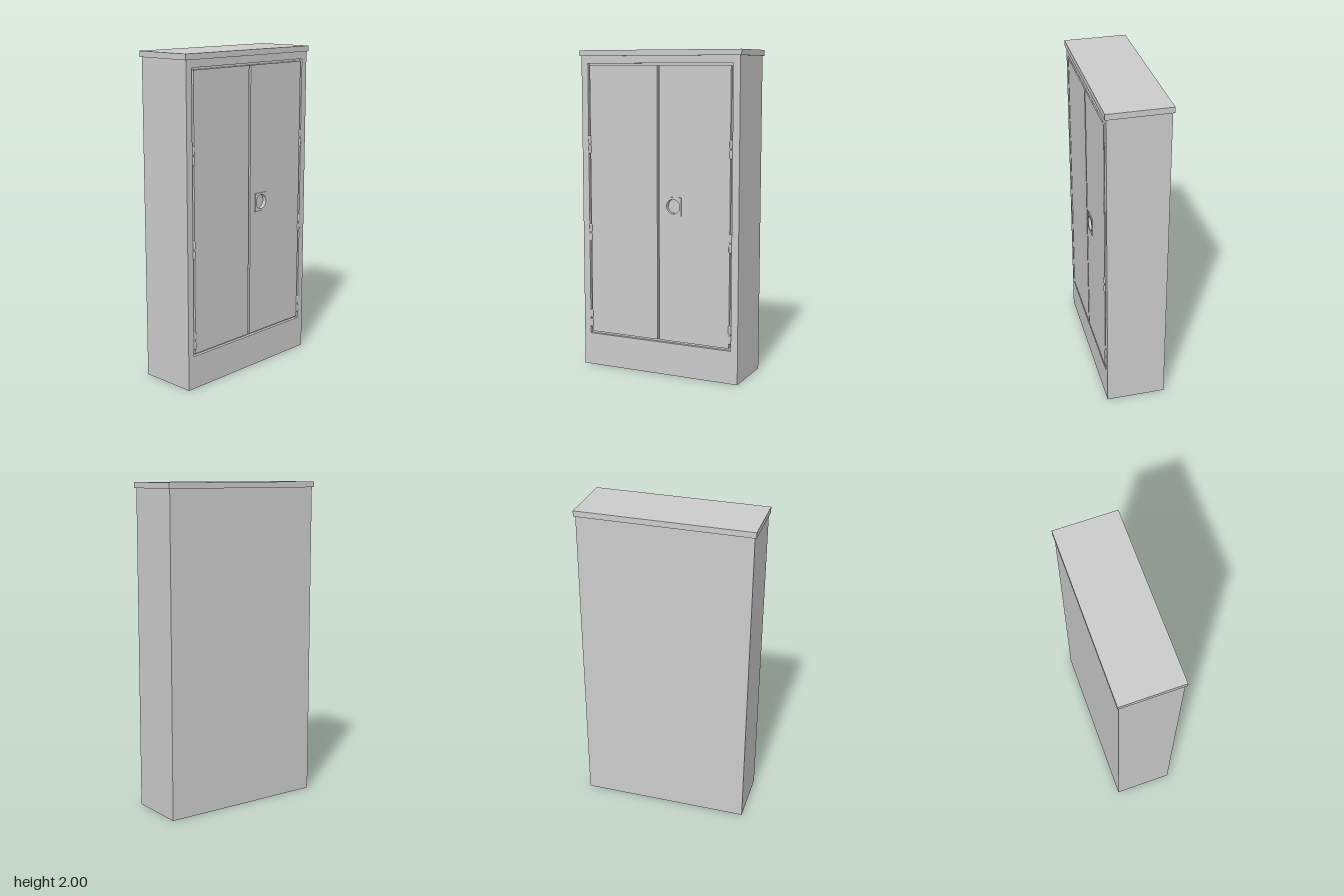
import * as THREE from 'three';

const material = new THREE.MeshStandardMaterial({ color: 0xcccccc });
const FRONT = 0.184;   // front face of the cabinet
const GROOVE = 0.02;   // depth of the gaps round the doors
const LOCK = { x: 0.103, y: 1.062, r: 0.044 };

function add(parent, name, geometry, x = 0, y = 0, z = 0) {
  const mesh = new THREE.Mesh(geometry, material);
  mesh.name = name;
  mesh.position.set(x, y, z);
  parent.add(mesh);
  return mesh;
}

function rect(Type, x0, x1, y0, y1) {
  const s = new Type();
  s.moveTo(x0, y0);
  s.lineTo(x1, y0);
  s.lineTo(x1, y1);
  s.lineTo(x0, y1);
  s.closePath();
  return s;
}

function panel(shape, depth) {
  return new THREE.ExtrudeGeometry(shape, { depth, bevelEnabled: false, curveSegments: 32 });
}

function lockHole() {
  return new THREE.Path().absarc(LOCK.x, LOCK.y, LOCK.r, 0, Math.PI * 2, true);
}

// Hinge: two knuckles with softened ends on a thin pin
function createHinge() {
  const hinge = new THREE.Group();
  hinge.name = 'hinge';
  const r = 0.0095, h = 0.026;
  const profile = [[0, -h], [r * 0.6, -h], [r, -h + 0.007], [r, h - 0.007], [r * 0.6, h], [0, h]]
    .map(([x, y]) => new THREE.Vector2(x, y));
  const knuckle = new THREE.LatheGeometry(profile, 16);
  for (const s of [-1, 1]) add(hinge, 'hingeKnuckle', knuckle, 0, s * 0.03, 0);
  add(hinge, 'hingePin', new THREE.CylinderGeometry(0.006, 0.006, 0.02, 12));
  return hinge;
}

export function createModel() {
  const cabinet = new THREE.Group();
  cabinet.name = 'cabinet';

  // Carcass, with the front frame and plinth in one piece
  const back = FRONT - GROOVE;
  add(cabinet, 'carcass', new THREE.BoxGeometry(1.054, 1.965, back + FRONT), 0, 1.965 / 2, (back - FRONT) / 2);
  const frame = rect(THREE.Shape, -0.527, 0.527, 0, 1.965);
  frame.holes.push(rect(THREE.Path, -0.483, 0.483, 0.205, 1.92));
  add(cabinet, 'frontFrame', panel(frame, GROOVE), 0, 0, back);

  // Overhanging top
  add(cabinet, 'topPanel', new THREE.BoxGeometry(1.074, 0.035, 0.386), 0, 1.9825, 0);

  // Doors, flush with the frame; the left one is cut for the lock
  for (const side of [-1, 1]) {
    const shape = side > 0
      ? rect(THREE.Shape, 0.007, 0.47, 0.22, 1.907)
      : rect(THREE.Shape, -0.47, -0.007, 0.22, 1.907);
    if (side > 0) shape.holes.push(lockHole());
    add(cabinet, side > 0 ? 'leftDoor' : 'rightDoor', panel(shape, GROOVE), 0, 0, back);

    for (const y of [0.305, 0.862, 1.42]) {
      const hinge = createHinge();
      hinge.position.set(side * 0.474, y, FRONT - 0.002);
      cabinet.add(hinge);
    }
  }

  // Square lock plate with a round finger recess
  const plate = rect(THREE.Shape, LOCK.x - 0.053, LOCK.x + 0.053, LOCK.y - 0.057, LOCK.y + 0.057);
  plate.holes.push(lockHole());
  add(cabinet, 'lockPlate', panel(plate, 0.006), 0, 0, FRONT);

  return cabinet;
}
